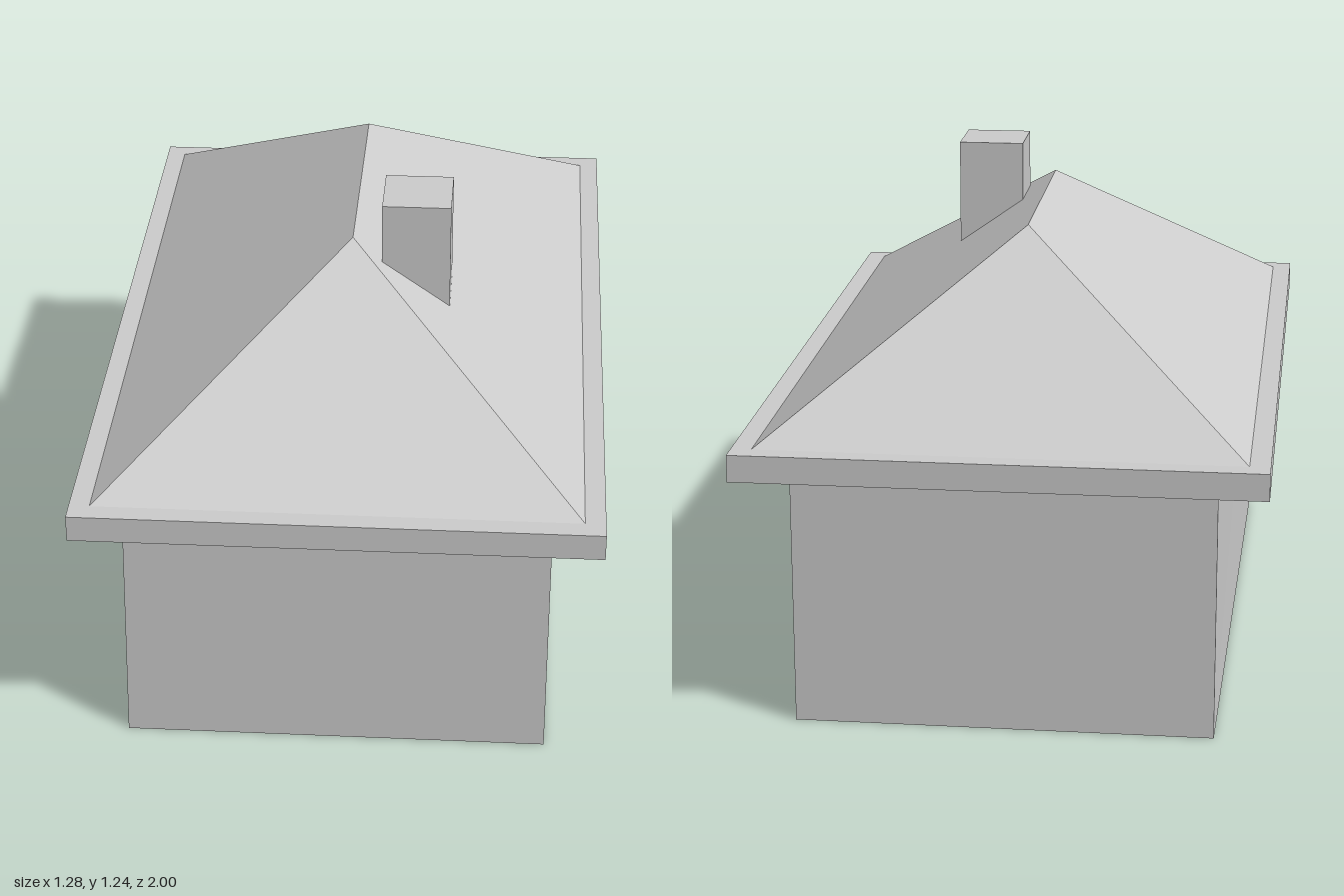
import * as THREE from 'three';

// Four corners, counter-clockwise from above, starting at front -x.
const ring = (x0, x1, z0, z1, y) => [[x0, y, z1], [x1, y, z1], [x1, y, z0], [x0, y, z0]];
const centred = (x, z, y) => ring(-x, x, -z, z, y);

// Faceted shell through successive four-corner rings, skipping collapsed triangles.
function loft(rings) {
  const pos = [];
  const tri = (...pts) => {
    const [a, b, c] = pts.map(p => new THREE.Vector3(...p));
    if (new THREE.Triangle(a, b, c).getArea() > 1e-6) pos.push(...pts.flat());
  };
  for (let r = 0; r < rings.length - 1; r++) {
    const a = rings[r], b = rings[r + 1];
    for (let i = 0; i < 4; i++) {
      const j = (i + 1) % 4;
      tri(a[i], a[j], b[j]);
      tri(a[i], b[j], b[i]);
    }
  }
  const geometry = new THREE.BufferGeometry();
  geometry.setAttribute('position', new THREE.Float32BufferAttribute(pos, 3));
  geometry.computeVertexNormals();
  return geometry;
}

export function createModel() {
  const group = new THREE.Group();
  const material = new THREE.MeshStandardMaterial({ color: 0xcccccc, side: THREE.DoubleSide });
  material.name = 'plain grey';
  const add = (name, rings) => {
    const mesh = new THREE.Mesh(loft(rings), material);
    mesh.name = name;
    group.add(mesh);
  };

  const eaveLow = 0.657, eaveHigh = 0.724, ridgeY = 1.14;
  const roofX = 0.59, roofZ = 0.95, ridgeZ = 0.328;

  // Open-bottomed walls; the front -x corner leans out slightly.
  const wallBase = ring(-0.516, 0.516, -0.875, 0.875, 0);
  const wallTop = ring(-0.516, 0.516, -0.875, 0.875, eaveLow);
  wallBase[0][0] = -0.537;
  wallTop[0][0] = -0.526;
  add('walls', [wallBase, wallTop]);

  // Soffit, fascia and the narrow flat ledge around the roof.
  add('eaves', [
    centred(0.502, 0.861, eaveLow),
    centred(0.64, 1, eaveLow),
    centred(0.64, 1, eaveHigh),
    centred(roofX, roofZ, eaveHigh),
  ]);

  // Hipped roof closing to a ridge along z.
  add('roof', [centred(roofX, roofZ, eaveHigh), centred(0, ridgeZ, ridgeY)]);

  // Chimney with its foot cut along the +x slope.
  const cx0 = 0.074, cx1 = 0.245, cz0 = 0.182, cz1 = 0.355, top = 1.242;
  const foot = ring(cx0, cx1, cz0, cz1, 0);
  for (const p of foot) p[1] = ridgeY - (ridgeY - eaveHigh) * p[0] / roofX;
  const mx = (cx0 + cx1) / 2;
  add('chimney', [foot, ring(cx0, cx1, cz0, cz1, top), ring(mx, mx, cz0, cz1, top)]);

  return group;
}
